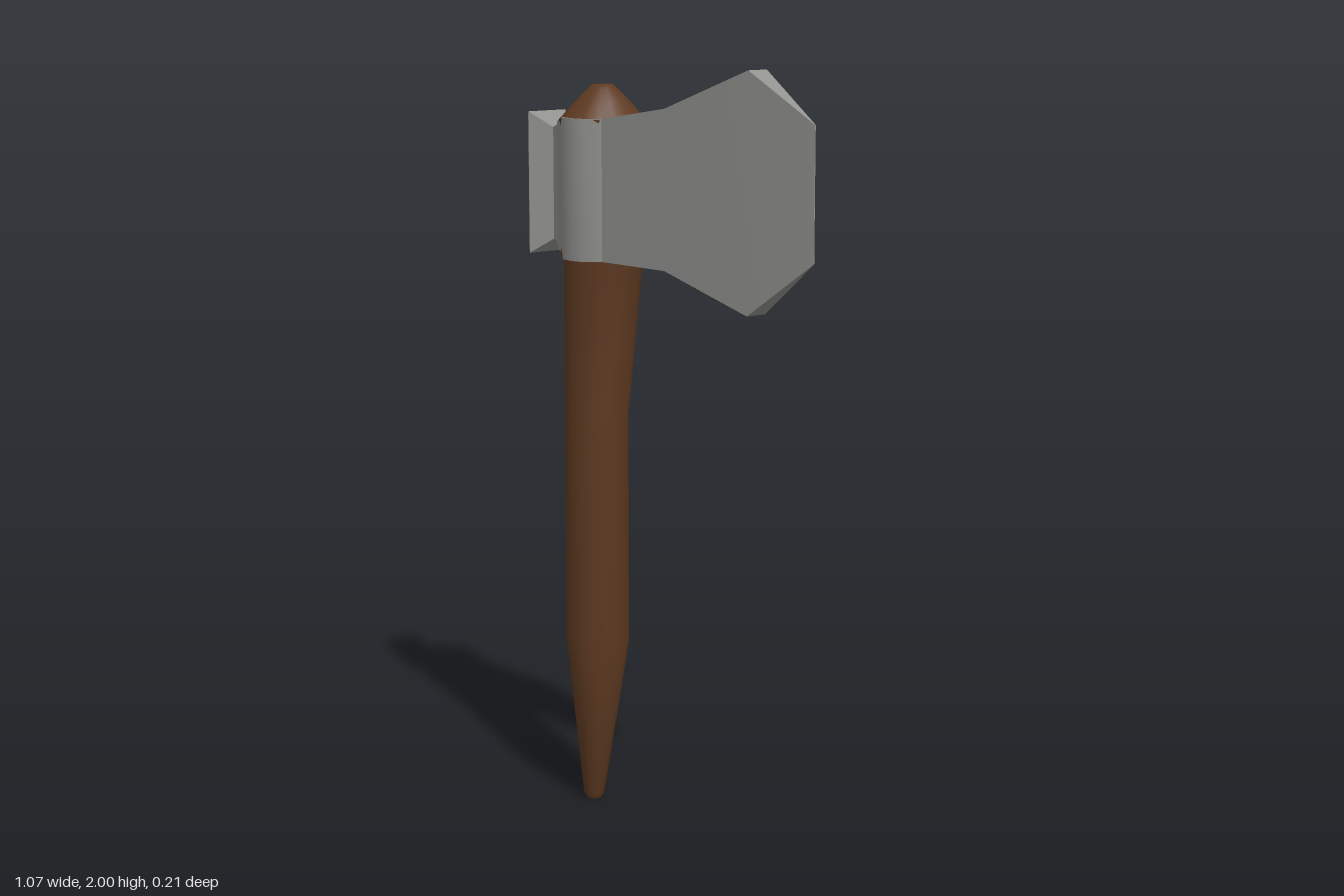
import * as THREE from 'three';
import { toCreasedNormals } from 'three/addons/utils/BufferGeometryUtils.js';

// Skin a list of closed rings (arrays of [x, y, z]) and cap both ends
function loft(rings, crease) {
  const m = rings[0].length, pos = rings.flat(2), idx = [];
  const last = rings.length - 1;
  for (let i = 0; i < last; i++) {
    for (let j = 0; j < m; j++) {
      const k = (j + 1) % m;
      const a = i * m + j, b = i * m + k, c = a + m, d = b + m;
      idx.push(a, c, b, b, c, d);
    }
  }
  for (let j = 1; j < m - 1; j++) {
    idx.push(0, j, j + 1);
    idx.push(last * m, last * m + j + 1, last * m + j);
  }
  const geo = new THREE.BufferGeometry();
  geo.setAttribute('position', new THREE.Float32BufferAttribute(pos, 3));
  geo.setIndex(idx);
  return toCreasedNormals(geo, crease);
}

// Round handle section; stretch pulls its back out into a teardrop, lift tilts that point
function handleRing(y, cx, r, stretch = 0, lift = 0) {
  const ring = [];
  for (let j = 0; j < 16; j++) {
    const a = (j / 16) * Math.PI * 2;
    const s = Math.max(0, -Math.cos(a) - 0.5);
    ring.push([cx + r * Math.cos(a) - s * stretch, y + s * lift, r * Math.sin(a)]);
  }
  return ring;
}

// Rectangular head section at a given x
const headRing = ([x, bottom, top, z]) => [[x, bottom, z], [x, top, z], [x, top, -z], [x, bottom, -z]];

export function createModel() {
  const wood = new THREE.MeshStandardMaterial({ color: 0x5e3a21 });
  wood.name = 'brown wood';
  const steel = new THREE.MeshStandardMaterial({ color: 0x91918e });
  steel.name = 'grey steel';

  const group = new THREE.Group();
  group.name = 'axe';
  const add = (name, geo, mat) => {
    const mesh = new THREE.Mesh(geo, mat);
    mesh.name = name;
    group.add(mesh);
  };

  // Tapered, slightly bent shaft
  add('handle', loft([
    handleRing(0, -0.32, 0.02),
    handleRing(0.015, -0.32, 0.028),
    handleRing(0.45, -0.3, 0.085),
    handleRing(1.07, -0.3, 0.085),
    handleRing(1.485, -0.268, 0.104),
    handleRing(1.49, -0.267, 0.104, 0.08, 0.04),
    handleRing(1.55, -0.265, 0.1),
  ], 0.7), wood);

  // Domed end showing above the head
  add('handleCap', loft([
    handleRing(1.8, -0.265, 0.1),
    handleRing(1.855, -0.265, 0.106, 0.08, -0.034),
    handleRing(1.9, -0.267, 0.068),
    handleRing(1.928, -0.267, 0.04),
    handleRing(1.94, -0.267, 0.025),
  ], 0.7), wood);

  // Poll behind the handle: x, bottom, top, half thickness
  add('poll', loft([
    [-0.535, 1.5, 1.85, 0.04],
    [-0.505, 1.485, 1.86, 0.062],
    [-0.45, 1.525, 1.82, 0.022],
    [-0.402, 1.512, 1.836, 0.036],
  ].map(headRing), 0.3), steel);

  // Collar wrapped round the handle
  add('collar', loft([
    [-0.405, 1.512, 1.836, 0.034],
    [-0.397, 1.51, 1.838, 0.05],
    [-0.352, 1.495, 1.855, 0.072],
    [-0.305, 1.49, 1.857, 0.104],
    [-0.265, 1.49, 1.857, 0.107],
    [-0.225, 1.49, 1.857, 0.1],
    [-0.185, 1.492, 1.857, 0.07],
  ].map(headRing), 0.7), steel);

  // Flared blade thinning to the cutting edge
  add('blade', loft([
    [-0.187, 1.492, 1.857, 0.07],
    [0.045, 1.49, 1.895, 0.054],
    [0.33, 1.405, 2.0, 0.03],
    [0.535, 1.55, 1.88, 0.001],
  ].map(headRing), 0.3), steel);

  return group;
}
